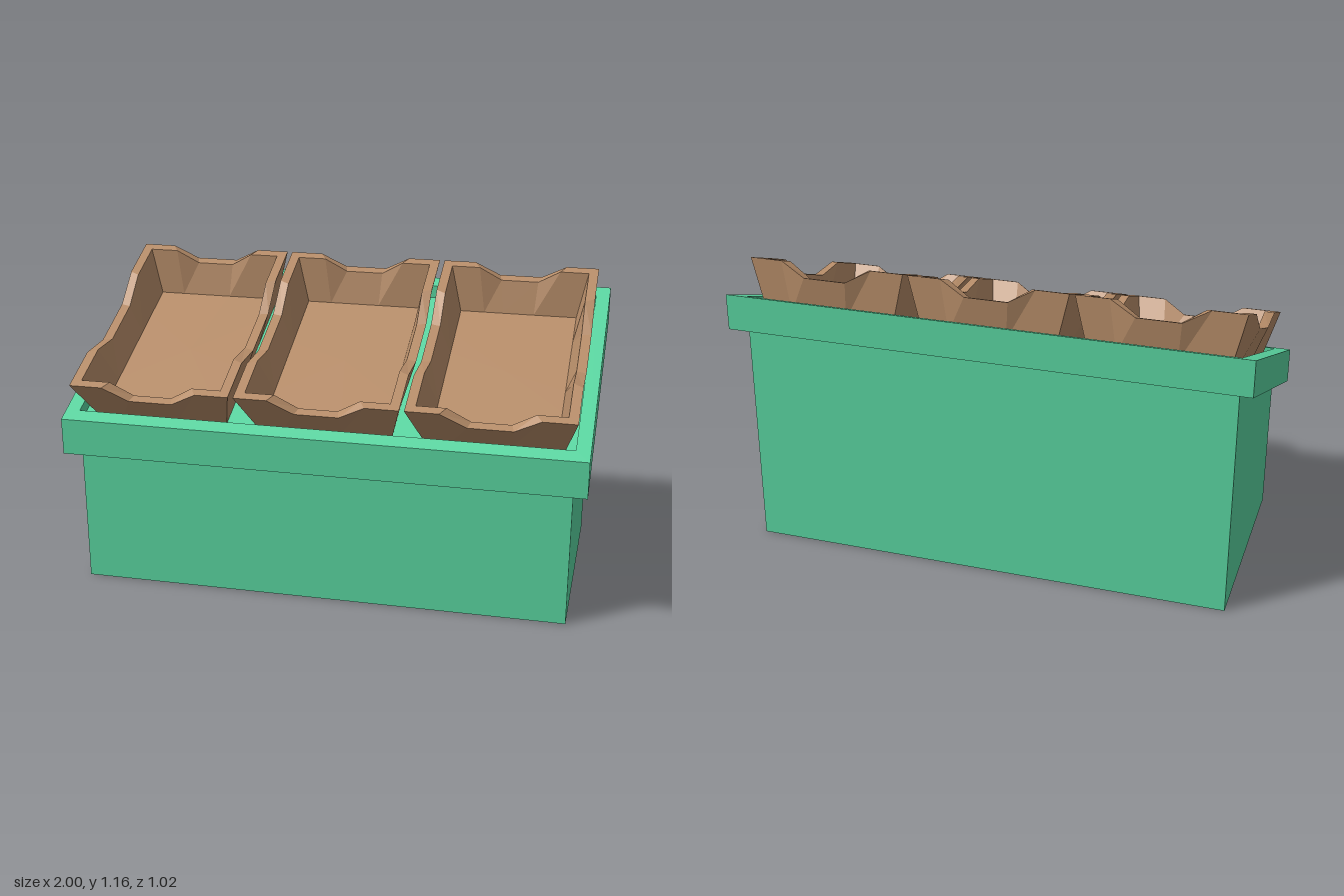
import * as THREE from 'three';

const SLOPE = 0.372; // rise of the display top towards the back

export function createModel() {
  const model = new THREE.Group();
  const green = new THREE.MeshStandardMaterial({ color: 0x5ad6a1 });
  green.name = 'green paint';
  const brown = new THREE.MeshStandardMaterial({ color: 0xb78d69 });
  brown.name = 'brown wood';

  const add = (geometry, material, name, parent = model) => {
    const mesh = new THREE.Mesh(geometry, material);
    mesh.name = name;
    parent.add(mesh);
    return mesh;
  };

  // Tilts a geometry by shearing it, keeping vertical walls vertical
  const shear = (geometry, affects = () => true) => {
    const flat = geometry.index ? geometry.toNonIndexed() : geometry;
    const p = flat.attributes.position;
    for (let i = 0; i < p.count; i++) {
      if (affects(p.getY(i))) p.setY(i, p.getY(i) - SLOPE * p.getZ(i));
    }
    flat.computeVertexNormals();
    return flat;
  };

  // Base cabinet; its sloped top is the recessed tray floor
  const floorHeight = 0.811;
  const base = new THREE.BoxGeometry(1.89, floorHeight, 0.885);
  base.translate(0, floorHeight / 2, -0.0125);
  add(shear(base, (y) => y > 0.1), green, 'base');

  // Overhanging frame around the tray
  const rectangle = (Type, x, front, back) => new Type([
    new THREE.Vector2(-x, -front), new THREE.Vector2(x, -front),
    new THREE.Vector2(x, -back), new THREE.Vector2(-x, -back),
  ]);
  const outline = rectangle(THREE.Shape, 1, 0.485, -0.51);
  outline.holes.push(rectangle(THREE.Path, 0.945, 0.43, -0.455));
  const frame = new THREE.ExtrudeGeometry(outline, { depth: 0.141, bevelEnabled: false });
  frame.rotateX(-Math.PI / 2);
  frame.translate(0, 0.72, 0);
  add(shear(frame), green, 'frame');

  // Three crates lying on the slope
  const crates = new THREE.Group();
  crates.name = 'crates';
  crates.rotation.x = Math.atan(SLOPE);
  model.add(crates);
  const crate = crateGeometry();
  [-0.636, 0.004, 0.643].forEach((x, i) => {
    add(crate, brown, ['rightCrate', 'middleCrate', 'leftCrate'][i], crates)
      .position.set(x, 0.761, -0.2865);
  });
  return model;
}

// Flared crate with a dip in the middle of each wall, lofted from four rings
function crateGeometry() {
  const ring = (hx, hz, y, dip) => {
    const points = [];
    const alongX = [-1, -0.59, -0.27, 0.27, 0.59];
    const alongZ = [-1, -0.57, -0.25, 0.25, 0.57];
    const side = (steps, place) => steps.forEach((t, i) => {
      const [x, z] = place(t);
      points.push([x * hx, y - (i === 2 || i === 3 ? dip : 0), z * hz]);
    });
    side(alongZ, (t) => [1, -t]);
    side(alongX, (t) => [-t, -1]);
    side(alongZ, (t) => [-1, t]);
    side(alongX, (t) => [t, 1]);
    return points;
  };
  const rings = [
    ring(0.262, 0.4, 0, 0), // outer bottom
    ring(0.31, 0.475, 0.194, 0.056), // outer rim
    ring(0.273, 0.439, 0.194, 0.056), // inner rim
    ring(0.233, 0.374, 0.021, 0), // inner floor
  ];
  const vertices = [];
  const tri = (...corners) => corners.forEach((c) => vertices.push(...c));
  const count = rings[0].length;
  for (let i = 0; i < count; i++) {
    const j = (i + 1) % count;
    for (let r = 0; r < 3; r++) {
      const a = rings[r], b = rings[r + 1];
      tri(a[i], a[j], b[j]);
      tri(a[i], b[j], b[i]);
    }
    tri([0, 0, 0], rings[0][j], rings[0][i]);
    tri([0, 0.021, 0], rings[3][i], rings[3][j]);
  }
  const geometry = new THREE.BufferGeometry();
  geometry.setAttribute('position', new THREE.Float32BufferAttribute(vertices, 3));
  geometry.computeVertexNormals();
  return geometry;
}
